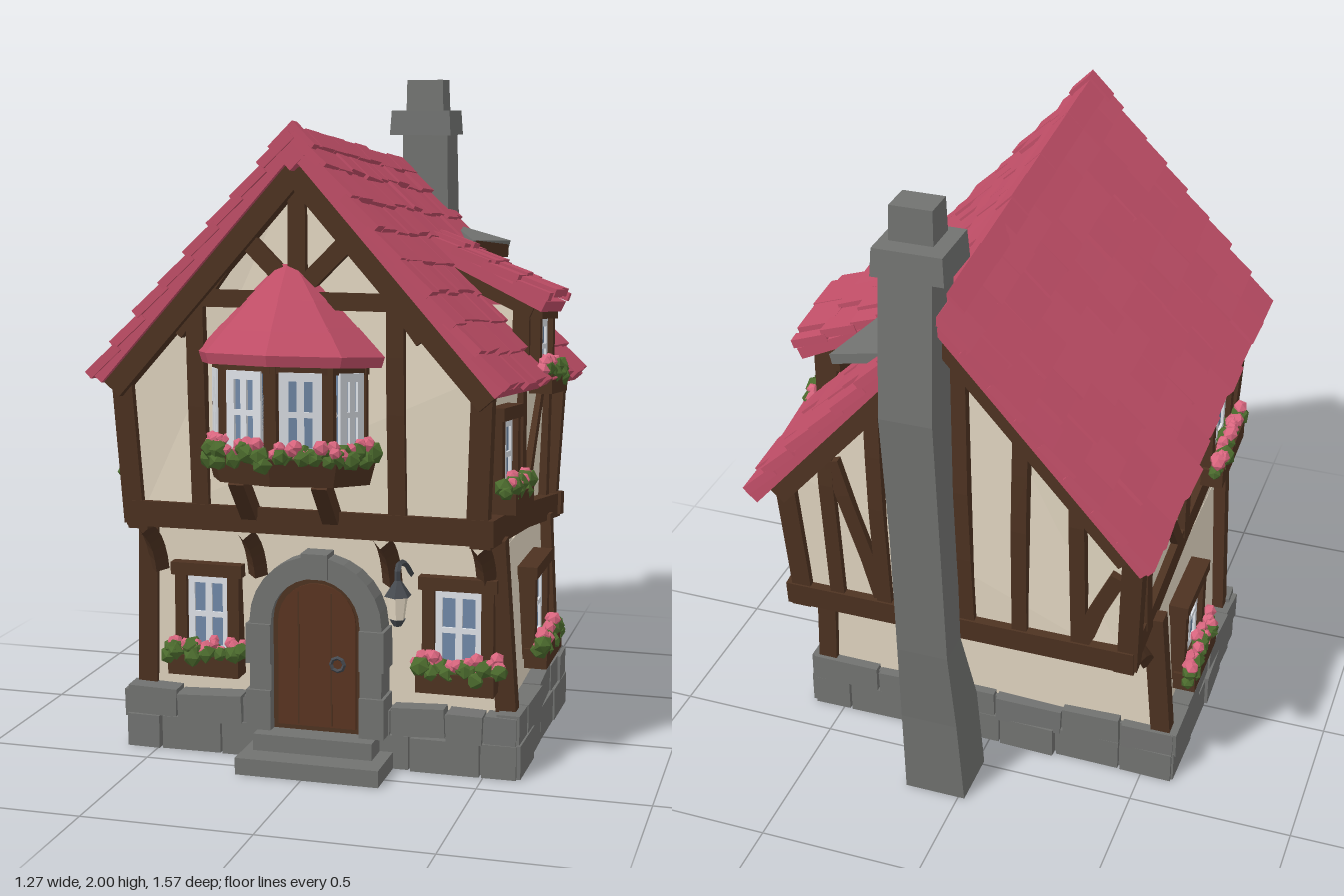
import * as THREE from 'three';
import { mergeGeometries } from 'three/addons/utils/BufferGeometryUtils.js';

const mat = (name, color) => { const m = new THREE.MeshStandardMaterial({ color }); m.name = name; return m; };
const M = {
  roof: mat('roofRed', 0xc04e67), plaster: mat('plaster', 0xe3d7c2), timber: mat('timber', 0x4d3221),
  door: mat('doorWood', 0x593420), stone: mat('stone', 0x717270), glass: mat('glass', 0x7088a6),
  white: mat('windowWhite', 0xdce0e6), leaf: mat('leaf', 0x4b6a2d), flower: mat('flower', 0xd9667f), metal: mat('metal', 0x464a50),
};
let seed = 7;
const rnd = (a = -1, b = 1) => { seed = (seed * 16807) % 2147483647; return a + (b - a) * seed / 2147483647; };
const V = (p) => new THREE.Vector3(...p);
const group = (name, parent, pos = [0, 0, 0], ry = 0) => {
  const g = new THREE.Group(); g.name = name; g.position.set(...pos); g.rotation.y = ry;
  if (parent) parent.add(g);
  return g;
};
const add = (parent, name, geo, material, pos = [0, 0, 0]) => {
  const m = new THREE.Mesh(geo, material); m.name = name; m.position.set(...pos); parent.add(m); return m;
};
const box = (parent, name, size, pos, material) => add(parent, name, new THREE.BoxGeometry(...size), material, pos);
// Square beam from a to b; sx and sz are its thicknesses before it is turned
const beam = (parent, name, a, b, sx, sz, material = M.timber) => {
  const d = V(b).sub(V(a));
  const m = add(parent, name, new THREE.BoxGeometry(sx, d.length(), sz, 1, 4, 1), material, V(a).add(V(b)).multiplyScalar(0.5).toArray());
  m.quaternion.setFromUnitVectors(new THREE.Vector3(0, 1, 0), d.normalize());
  return m;
};
// Box skin through stations [y, x0, x1, z0, z1]
const loft = (st) => {
  const n = st.length - 1, g = new THREE.BoxGeometry(1, 1, 1, 1, n, 1), p = g.attributes.position;
  for (let i = 0; i < p.count; i++) {
    const s = st[Math.round((p.getY(i) + 0.5) * n)];
    p.setXYZ(i, p.getX(i) < 0 ? s[1] : s[2], s[0], p.getZ(i) < 0 ? s[3] : s[4]);
  }
  return g;
};
// Bake transforms, bend vertices by a rule and give faceted normals
const bake = (root, warp) => {
  root.updateMatrixWorld(true);
  root.traverse((o) => {
    if (!o.isMesh) return;
    const g = o.geometry.index ? o.geometry.toNonIndexed() : o.geometry;
    g.applyMatrix4(o.matrixWorld);
    const p = g.attributes.position, v = new THREE.Vector3();
    if (warp) for (let i = 0; i < p.count; i++) { warp(v.fromBufferAttribute(p, i)); p.setXYZ(i, v.x, v.y, v.z); }
    g.computeVertexNormals();
    o.geometry = g;
  });
  root.traverse((o) => { o.position.set(0, 0, 0); o.quaternion.identity(); o.scale.set(1, 1, 1); });
};
const blobs = (pts, r, spread, lift) => mergeGeometries(pts.map(([x, y, z]) =>
  new THREE.IcosahedronGeometry(r * rnd(0.75, 1.2), 0).rotateY(rnd(0, 3)).translate(x + rnd() * spread, y + lift + rnd() * 0.02, z + rnd() * 0.012)));
const plants = (parent, pts) => {
  add(parent, 'leaves', blobs([...pts, ...pts], 0.029, 0.015, -0.01), M.leaf);
  add(parent, 'blossoms', blobs([...pts, ...pts], 0.021, 0.02, 0.014), M.flower);
};
const pane = (parent, w, h) => {
  box(parent, 'glass', [w, h, 0.01], [0, 0, 0.01], M.glass);
  for (const s of [-1, 0, 1]) {
    box(parent, 'glazingBar', [s ? 0.026 : 0.02, h, 0.018], [s * (w / 2 - 0.013), 0, 0.014], M.white);
    box(parent, 'glazingBar', [w, s ? 0.024 : 0.016, 0.018], [0, s * (h / 2 - 0.012), 0.014], M.white);
  }
};
// Framed window with flower box, facing +z
const windowUnit = (parent, name, pos, ry, w, h) => {
  const g = group(name, parent, pos, ry);
  pane(g, w - 0.06, h - 0.06);
  for (const s of [-1, 1]) box(g, 'frameSide', [0.036, h, 0.06], [s * (w / 2 - 0.018), 0, 0.01], M.timber);
  box(g, 'frameHead', [w + 0.02, 0.038, 0.07], [0, h / 2 - 0.01, 0.012], M.timber);
  box(g, 'flowerBox', [w + 0.02, 0.06, 0.07], [0, -h / 2 + 0.005, 0.045], M.timber);
  const pts = [];
  for (let i = 0; i < 8; i++) pts.push([(i / 7 - 0.5) * (w + 0.02), -h / 2 + 0.05, 0.058]);
  plants(g, pts);
};
// Uneven tiles on a slope running from top to bottom [x, y] between z0 and z1
const tiles = (parent, name, top, bot, z0, z1, rows, width, arch = 0) => {
  const dx = bot[0] - top[0], dy = bot[1] - top[1], L = Math.hypot(dx, dy), s = Math.sign(dx), list = [];
  for (let r = 0; r < rows; r++) {
    for (let z = z0; z < z1 - 0.01;) {
      let w = width * rnd(0.7, 1.3) * (z === z0 && r % 2 ? 0.55 : 1);
      if (z + w > z1 - width * 0.4) w = z1 - z;
      const t = (r + 0.5 + rnd() * 0.08) / rows, u = (2 * (z + w / 2 - z0)) / (z1 - z0) - 1;
      const off = 0.012 + rnd() * 0.005;
      list.push(new THREE.BoxGeometry((L / rows) * 1.14, 0.026, w - 0.006).rotateX(rnd() * 0.04).rotateY(rnd() * 0.045)
        .rotateZ(Math.atan2(dy, dx) + s * 0.1)
        .translate(top[0] + dx * t - (s * dy / L) * off, top[1] + dy * t + (Math.abs(dx) / L) * off + arch * (1 - u * u), z + w / 2));
      z += w;
    }
  }
  add(parent, name, mergeGeometries(list), M.roof);
};
const extrude = (shape, depth) => new THREE.ExtrudeGeometry(shape, { depth, bevelEnabled: false, curveSegments: 7 });
const archShape = (r, y0, yc) => new THREE.Shape().moveTo(-r, y0).lineTo(r, y0).lineTo(r, yc).absarc(0, yc, r, 0, Math.PI).closePath();
const polygon = (pts) => new THREE.Shape(pts.map((p) => new THREE.Vector2(...p)));

function buildLower(g) {
  // Stone footing and steps
  box(g, 'footing', [1.17, 0.17, 0.75], [0, 0.085, 0.01], M.stone);
  const stones = [];
  for (let row = 0; row < 2; row++) for (let side = 0; side < 4; side++) {
    const alongX = side % 2 === 0, len = alongX ? 1.2 : 0.78, sg = side < 2 ? 1 : -1;
    for (let a = -len / 2; a < len / 2 - 0.01;) {
      let w = rnd(0.11, 0.22);
      if (a + w > len / 2 - 0.07) w = len / 2 - a;
      const b = new THREE.BoxGeometry(w - 0.008, row ? 0.085 : 0.1, 0.07 + rnd() * 0.012).rotateZ(rnd() * 0.05 * row).rotateY(rnd() * 0.04);
      if (!alongX) b.rotateY(Math.PI / 2);
      const y = row ? 0.138 + rnd() * 0.008 : 0.05;
      stones.push(alongX ? b.translate(a + w / 2, y, 0.01 + sg * 0.36) : b.translate(sg * 0.57, y, 0.01 + a + w / 2));
      a += w;
    }
  }
  add(g, 'footingStones', mergeGeometries(stones), M.stone);
  box(g, 'lowerStep', [0.43, 0.05, 0.2], [0.015, 0.025, 0.47], M.stone);
  box(g, 'upperStep', [0.36, 0.1, 0.12], [0.01, 0.05, 0.43], M.stone);
  // Ground floor walls and corner posts
  add(g, 'groundFloorWalls', loft([[0.15, -0.55, 0.55, -0.35, 0.33], [0.64, -0.52, 0.52, -0.38, 0.375]]), M.plaster);
  add(g, 'frontWallHead', loft([[0.6, -0.521, 0.521, 0.1, 0.372], [0.715, -0.515, 0.515, 0.1, 0.383]]), M.plaster);
  for (const s of [-1, 1]) {
    beam(g, 'cornerPost', [s * 0.555, 0.16, 0.322], [s * 0.525, 0.7, 0.37], 0.06, 0.05);
    beam(g, 'cornerPost', [s * 0.555, 0.16, -0.345], [s * 0.525, 0.62, -0.378], 0.06, 0.05);
    windowUnit(g, 'sideWindow', [s * 0.54, 0.395, -0.085], s * Math.PI / 2, 0.25, 0.28);
  }
  windowUnit(g, 'frontWindow', [-0.342, 0.42, 0.36], 0, 0.2, 0.3);
  windowUnit(g, 'frontWindow', [0.42, 0.425, 0.36], 0, 0.21, 0.3);
  // Curved jetty brackets
  const bracket = (x, z0, z1, y0, y1) => add(g, 'jettyBracket', new THREE.TubeGeometry(new THREE.QuadraticBezierCurve3(
    V([x, y0, z0]), V([x, y1 - 0.05, z0 + (z1 - z0) * 0.2]), V([x, y1, z1])), 5, 0.03, 4), M.timber);
  for (const x of [-0.5, -0.19, 0.22, 0.5]) {
    bracket(x, 0.37, 0.5, 0.55, 0.71);
    bracket(x, -0.37, -0.57, 0.44, 0.58);
  }
  // Arched door and its stone surround
  add(g, 'doorFrame', extrude(archShape(0.14, 0.1, 0.43), 0.06), M.timber, [0.005, 0, 0.355]);
  add(g, 'doorLeaf', extrude(archShape(0.118, 0.115, 0.428), 0.06), M.door, [0.005, 0, 0.362]);
  for (const x of [-0.05, 0.05]) box(g, 'plankGap', [0.004, 0.4, 0.004], [x, 0.32, 0.422], M.timber);
  add(g, 'doorRing', new THREE.TorusGeometry(0.02, 0.006, 4, 8), M.metal, [0.07, 0.31, 0.428]);
  const surround = archShape(0.2, 0.1, 0.43);
  surround.holes.push(archShape(0.134, 0.1, 0.43));
  add(g, 'doorSurround', extrude(surround, 0.095), M.stone, [0.005, 0, 0.345]);
  box(g, 'keystone', [0.08, 0.075, 0.1], [0.005, 0.602, 0.4], M.stone);
  for (const s of [-1, 1]) for (let i = 0; i < 2; i++)
    box(g, 'jambStone', [0.075, 0.12, 0.1], [0.005 + s * 0.172, 0.16 + i * 0.2, 0.4], M.stone);
  // Lantern on a hook
  const l = group('lantern', g, [0.275, 0, 0.525]);
  add(l, 'lanternHook', new THREE.TubeGeometry(new THREE.CatmullRomCurve3([[0, 0.58, -0.16], [0, 0.63, -0.08], [0, 0.64, 0], [0, 0.6, 0.005]].map(V)), 8, 0.009, 4), M.metal);
  add(l, 'lanternCap', new THREE.CylinderGeometry(0.006, 0.04, 0.05, 6), M.metal, [0, 0.58, 0]);
  add(l, 'lanternGlass', new THREE.CylinderGeometry(0.03, 0.02, 0.07, 6), M.plaster, [0, 0.52, 0]);
  add(l, 'lanternFoot', new THREE.CylinderGeometry(0.024, 0.012, 0.02, 6), M.metal, [0, 0.478, 0]);
}

function buildUpper(g) {
  // Gabled body with a red underside
  const gable = polygon([[-0.5, 0.67], [0.5, 0.67], [0.51, 1.13], [0, 1.71], [-0.51, 1.13]]);
  add(g, 'upperWalls', extrude(gable, 1.125), M.plaster, [0, 0, -0.59]);
  box(g, 'jettyUnderside', [1.0, 0.006, 1.08], [0, 0.668, -0.03], M.roof);
  // Sill beams and posts
  for (const z of [0.532, -0.585]) {
    beam(g, 'sillBeam', [-0.525, 0.7, z], [0.555, 0.7, z], 0.075, 0.06);
    for (const s of [-1, 1]) beam(g, 'cornerPost', [s * 0.505, 0.67, z], [s * 0.525, 1.13, z], 0.06, 0.05);
  }
  for (const s of [-1, 1]) {
    const x = s * 0.51;
    beam(g, 'sideSill', [s * 0.505 + 0.01, 0.693, -0.61], [s * 0.505 + 0.01, 0.693, 0.555], 0.06, 0.078);
    beam(g, 'sidePost', [x, 0.7, -0.04], [x, 1.14, -0.03], 0.035, 0.055);
    beam(g, 'sidePost', [x, 0.7, -0.45], [x, 1.14, -0.46], 0.035, 0.05);
    beam(g, 'sideBrace', [x, 0.7, -0.09], [x, 1.1, -0.37], 0.03, 0.04);
    windowUnit(g, 'sideWindow', [s * 0.51, 0.9, 0.28], s * Math.PI / 2, 0.26, 0.27);
  }
  // Front gable timbers
  const F = 0.537;
  const front = [[-0.3, 0.7, -0.3, 1.34], [0.28, 0.7, 0.28, 1.34], [-0.31, 1.33, 0.31, 1.33], [0, 1.3, 0, 1.68],
    [0, 1.35, -0.17, 1.52], [0, 1.35, 0.17, 1.52], [-0.36, 1.23, -0.22, 1.42], [0.36, 1.23, 0.22, 1.42]];
  for (const [a, b, c, d] of front) beam(g, 'frontTimber', [a, b, F], [c, d, F], 0.05, 0.035);
  // Back gable timbers
  const back = [[-0.36, 0.7, -0.36, 1.28], [-0.18, 0.7, -0.2, 1.46], [0.24, 0.7, 0.24, 1.42], [0.39, 0.7, 0.39, 1.25],
    [-0.02, 0.7, -0.02, 1.65], [-0.48, 0.98, -0.36, 0.72], [0.37, 1.2, 0.25, 0.75]];
  for (const [a, b, c, d] of back) beam(g, 'backTimber', [a, b, -0.592], [c, d, -0.592], 0.045, 0.035);
}

function buildBay(parent) {
  const g = group('bayWindow', parent, [-0.028, 0, 0.56]);
  const ring = (name, r0, r1, y0, y1, k, m) => add(g, name, new THREE.CylinderGeometry(r1, r0, y1 - y0, 8).scale(1, 1, k), m, [0, (y0 + y1) / 2, 0]);
  ring('bayBody', 0.205, 0.205, 0.86, 1.17, 0.82, M.timber);
  ring('bayFlowerBox', 0.23, 0.25, 0.82, 0.895, 0.82, M.timber);
  ring('bayHead', 0.23, 0.23, 1.13, 1.165, 0.82, M.timber);
  const at = (a, r, y) => [Math.sin(a) * r, y, Math.cos(a) * r * 0.82];
  const pts = [];
  for (let i = 0; i < 5; i++) {
    const a = (i - 2) * Math.PI / 4;
    beam(g, 'bayPost', at(a, 0.208, 0.87), at(a, 0.208, 1.15), 0.035, 0.035);
    if (i === 4) continue;
    const p = V(at(a, 0.21, 1.02)), q = V(at(a + Math.PI / 4, 0.21, 1.02)), d = q.clone().sub(p);
    pane(group('bayPane', g, p.clone().lerp(q, 0.5).toArray(), Math.atan2(-d.z, d.x)), d.length() - 0.04, 0.23);
    for (let k = 0; k < 5; k++) {
      const t = p.clone().lerp(q, (k + 0.5) / 5);
      pts.push([t.x * 1.15, 0.91, t.z * 1.13]);
    }
  }
  plants(g, pts);
  // Three courses of roof over a thick rim
  ring('bayRoofRim', 0.265, 0.275, 1.15, 1.18, 0.8, M.roof);
  ring('bayRoofLower', 0.275, 0.2, 1.18, 1.26, 0.8, M.roof);
  ring('bayRoofMiddle', 0.212, 0.12, 1.245, 1.34, 0.82, M.roof);
  ring('bayRoofTop', 0.132, 0.03, 1.33, 1.43, 0.84, M.roof);
  for (const x of [-0.12, 0.12]) beam(g, 'bayBracket', [x, 0.72, 0.0], [x, 0.83, 0.11], 0.045, 0.05);
}

function buildRoof(g) {
  for (const s of [-1, 1]) {
    beam(g, s > 0 ? 'leftRoofSlab' : 'rightRoofSlab', [0, 1.748, -0.05], [s * 0.58, 1.092, -0.05], 0.035, 1.36, M.roof);
    tiles(g, 'roofTiles', [0, 1.765], [s * 0.583, 1.104], -0.74, 0.64, 8, 0.14);
    beam(g, 'frontRake', [0, 1.68, 0.588], [s * 0.545, 1.064, 0.588], 0.065, 0.05);
    beam(g, 'backRake', [0, 1.68, -0.675], [s * 0.52, 1.092, -0.675], 0.06, 0.05);
    beam(g, 'eavePlate', [s * 0.515, 1.1, -0.62], [s * 0.515, 1.1, 0.57], 0.05, 0.05);
  }
  // Ridge caps
  for (let i = 0; i < 10; i++) {
    const c = box(g, 'ridgeCap', [0.07, 0.07, 0.13], [0, 1.755 + rnd() * 0.004, 0.56 - i * 0.128], M.roof);
    c.rotation.z = Math.PI / 4;
  }
  box(g, 'ridgeEnd', [0.1, 0.09, 0.045], [0, 1.75, 0.61], M.roof).rotation.z = Math.PI / 4;
  // Dormer
  box(g, 'dormerBody', [0.3, 0.25, 0.25], [0.37, 1.205, -0.165], M.plaster);
  for (const z of [-0.035, -0.295]) box(g, 'dormerPost', [0.05, 0.23, 0.045], [0.515, 1.21, z], M.timber);
  beam(g, 'dormerRafter', [0.25, 1.45, -0.165], [0.55, 1.315, -0.165], 0.05, 0.31);
  windowUnit(g, 'dormerWindow', [0.53, 1.205, -0.165], Math.PI / 2, 0.26, 0.23);
  beam(g, 'dormerRoofSlab', [0.22, 1.505, -0.18], [0.585, 1.328, -0.18], 0.035, 0.36, M.roof);
  tiles(g, 'dormerTiles', [0.22, 1.515], [0.59, 1.338], -0.365, 0.005, 4, 0.11, 0.02);
}

function buildChimney(g) {
  add(g, 'chimneyShaft', loft([[0, -0.02, 0.17, -0.665, -0.485], [0.3, -0.01, 0.165, -0.69, -0.515], [0.58, 0, 0.155, -0.725, -0.615],
    [1, 0, 0.15, -0.755, -0.63], [1.4, 0, 0.155, -0.785, -0.61], [1.83, 0, 0.15, -0.755, -0.605]]), M.stone);
  add(g, 'chimneyCap', loft([[1.82, -0.04, 0.165, -0.775, -0.585], [1.9, -0.035, 0.16, -0.77, -0.59]]), M.stone);
  add(g, 'chimneyPot', loft([[1.89, 0.01, 0.135, -0.715, -0.61], [2, 0.01, 0.13, -0.715, -0.62]]), M.stone);
  // Sloping wedge-shaped stone shelf beside the shaft
  const shelf = group('chimneyShelf', g, [0.15, 1.5, 0]);
  shelf.rotation.z = -0.25;
  add(shelf, 'shelfSlab', extrude(polygon([[0, 0.65], [0.21, 0.63], [0.14, 0.36]]), 0.03).rotateX(-Math.PI / 2), M.stone);
  beam(shelf, 'shelfEdge', [0.2, 0.0, -0.625], [0.14, 0.0, -0.38], 0.024, 0.055);
}

export function createModel() {
  seed = 7;
  const model = group('cottage');
  const shear = (v) => { v.y += v.z * 0.1; };
  // Upper walls flare with height, and their foot sags towards the back
  const flare = (v) => {
    if (v.y < 0.78) v.y += Math.min(v.z, 0) * 0.045;
    v.z *= 1 + 0.14 * (Math.min(v.y, 1.13) - 0.69);
    shear(v);
  };
  const parts = [['groundFloor', buildLower], ['upperFloor', buildUpper, flare], ['bay', buildBay, shear],
    ['roof', buildRoof, shear], ['chimney', buildChimney]];
  for (const [name, build, warp] of parts) {
    const g = group(name);
    build(g);
    bake(g, warp);
    model.add(g);
  }
  return model;
}
